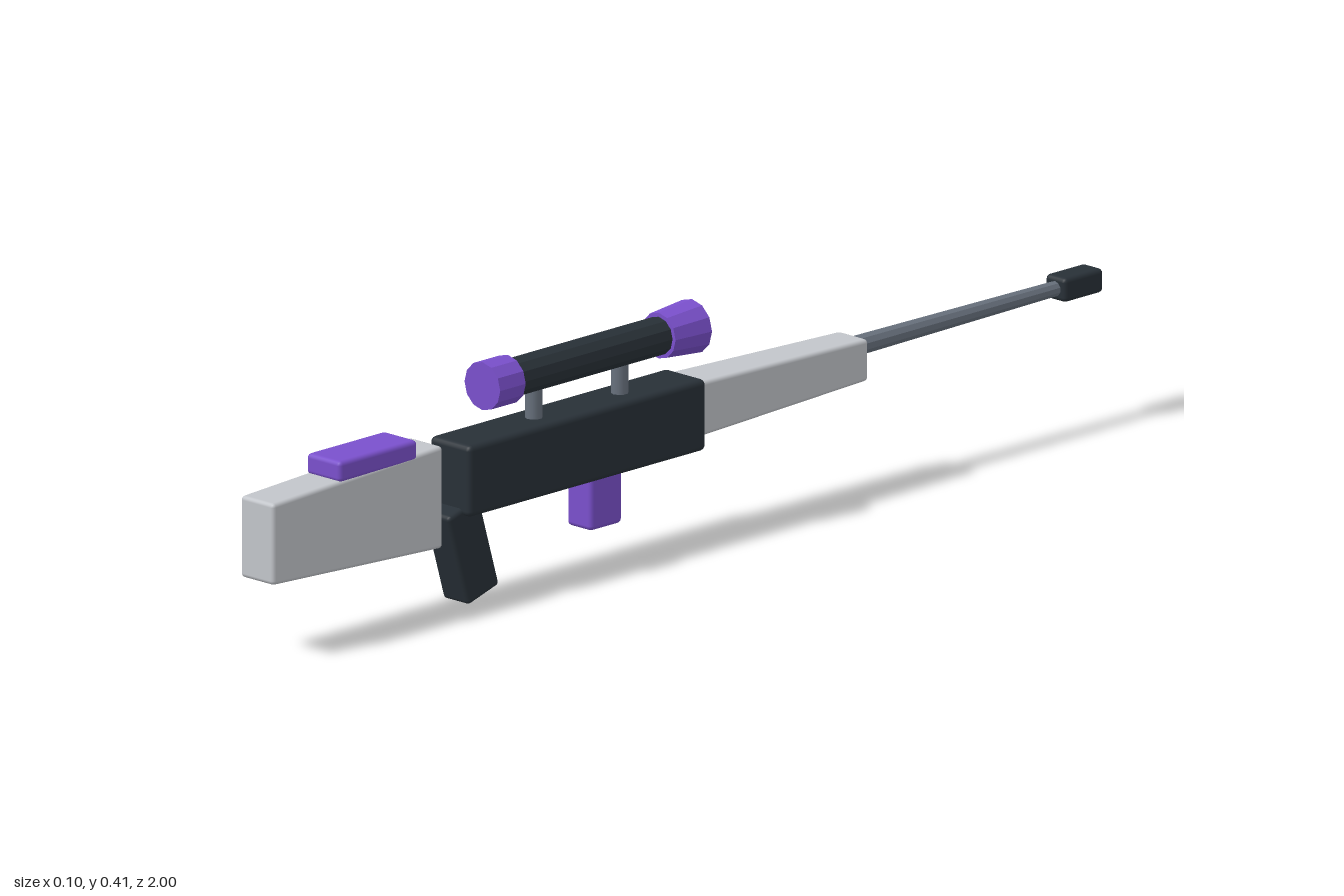
import * as THREE from 'three';
import { RoundedBoxGeometry } from 'three/addons/geometries/RoundedBoxGeometry.js';

const mat = (name, color, flatShading = false) => {
  const m = new THREE.MeshStandardMaterial({ color, flatShading });
  m.name = name;
  return m;
};

export function createModel() {
  const root = new THREE.Group();
  root.name = 'toyBlaster';
  const light = mat('lightGrey', 0xc2c5ca);
  const dark = mat('charcoal', 0x283037);
  const purple = mat('purple', 0x7a50cc);
  const steel = mat('steel', 0x68717d);
  const teal = mat('tealGlass', 0x1f9fb0);

  const add = (name, geo, material, x = 0, y = 0, z = 0) => {
    const mesh = new THREE.Mesh(geo, material);
    mesh.name = name;
    mesh.position.set(x, y, z);
    root.add(mesh);
    return mesh;
  };

  // Rounded block given by its y and z limits
  const block = (name, w, y0, y1, z0, z1, material, r = 0.008) =>
    add(name, new RoundedBoxGeometry(w, y1 - y0, z1 - z0, 2, r), material, 0, (y0 + y1) / 2, (z0 + z1) / 2);

  // Rounded block whose section changes from a to b; each is [z, bottom, top, halfWidth]
  const taper = (name, a, b, material) => {
    const geo = new RoundedBoxGeometry(1, 1, b[0] - a[0], 2, 0.007);
    const p = geo.attributes.position;
    const len = b[0] - a[0];
    // compress the rounding of the unit section to a small, even radius
    const soften = (v, size) => {
      const inset = 0.5 - Math.abs(v);
      return Math.sign(v) * (inset <= 0.0071 ? size / 2 - inset : (size / 2 - 0.007) * Math.abs(v) / 0.493);
    };
    for (let i = 0; i < p.count; i++) {
      const t = p.getZ(i) / len + 0.5;
      const [z, y0, y1, hw] = a.map((v, k) => v + (b[k] - v) * t);
      p.setXYZ(i, soften(p.getX(i), hw * 2), (y0 + y1) / 2 + soften(p.getY(i), y1 - y0), z);
    }
    return add(name, geo, material);
  };

  // Faceted round part along z, with its own radius at each end
  const round = (name, y, z0, r0, z1, r1, sides, material) => {
    const geo = new THREE.CylinderGeometry(r1, r0, z1 - z0, sides);
    geo.rotateX(Math.PI / 2);
    const flat = geo.toNonIndexed();
    flat.computeVertexNormals();
    return add(name, flat, material, 0, y, (z0 + z1) / 2);
  };

  // Body
  block('receiver', 0.096, 0.16, 0.285, -0.027, 0.54, dark, 0.01);
  taper('stock', [0.595, 0.118, 0.297, 0.04], [1.0, 0.137, 0.279, 0.039], light);
  taper('handguard', [-0.427, 0.195, 0.268, 0.035], [0.0, 0.183, 0.28, 0.042], light);
  block('cheekRest', 0.08, 0.283, 0.32, 0.655, 0.842, purple);
  block('magazine', 0.058, 0.068, 0.18, 0.155, 0.231, purple);

  // Raked grip
  const grip = add('grip', new RoundedBoxGeometry(0.062, 0.17, 0.078, 2, 0.008), dark, 0, 0.093, 0.511);
  grip.rotation.x = 0.29;

  // Barrel and muzzle
  round('barrel', 0.248, -0.94, 0.013, -0.4, 0.018, 10, steel);
  block('muzzle', 0.048, 0.227, 0.269, -1.0, -0.907, dark);

  // Scope
  const sy = 0.365;
  round('scopeTube', sy, -0.02, 0.033, 0.44, 0.033, 12, dark);
  round('scopeFrontBell', sy, -0.04, 0.047, 0.04, 0.04, 12, purple);
  round('scopeEyepiece', sy, 0.4, 0.042, 0.461, 0.042, 12, purple);
  round('lens', sy, -0.043, 0.043, -0.038, 0.043, 12, teal);
  for (const z of [0.133, 0.338]) {
    add('scopeMount', new THREE.CylinderGeometry(0.015, 0.015, 0.07, 10), steel, 0, 0.308, z);
  }
  return root;
}
